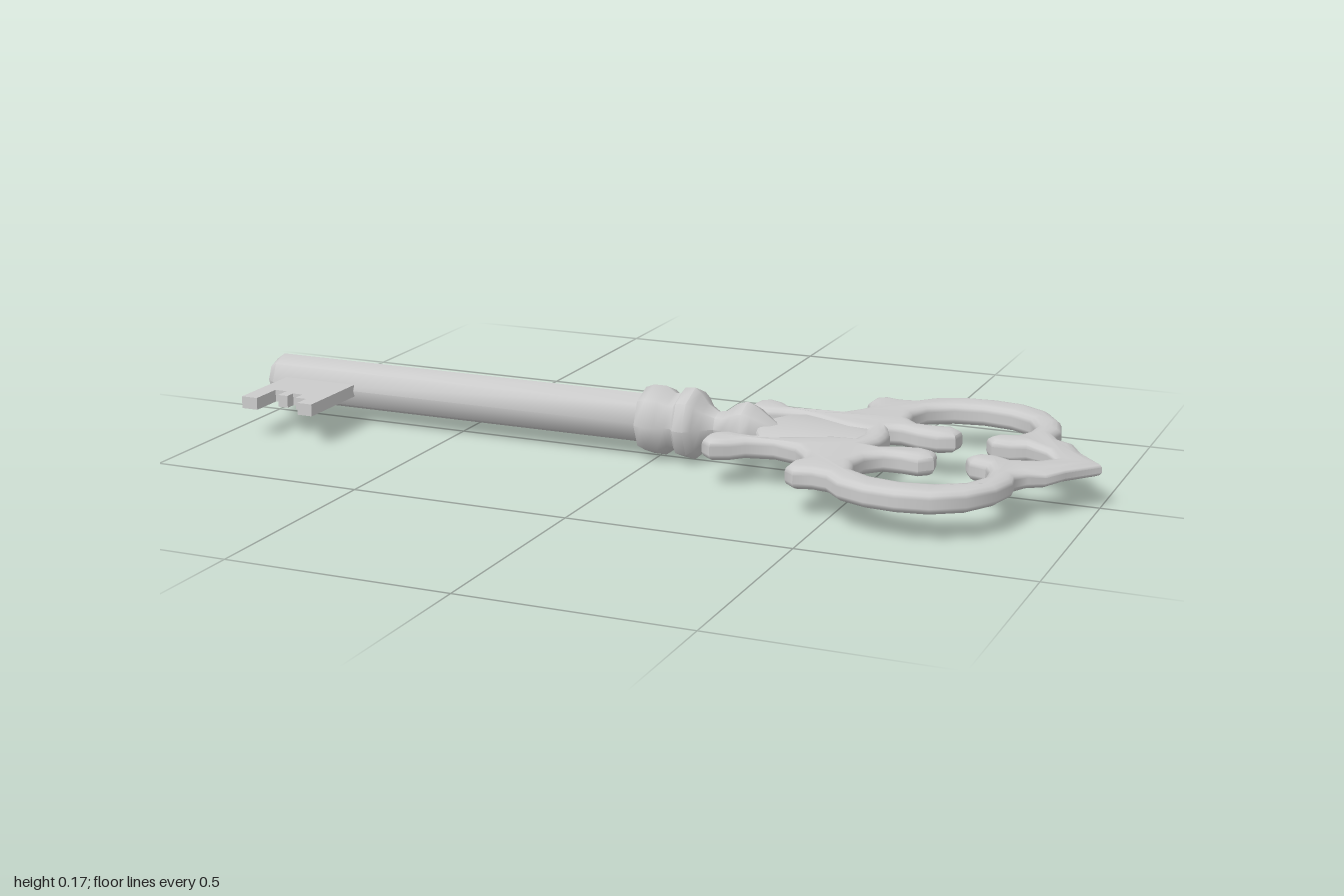
import * as THREE from 'three';
import { toCreasedNormals } from 'three/addons/utils/BufferGeometryUtils.js';

const AXIS = 0.085; // height of the key's centre line

const material = new THREE.MeshStandardMaterial({ color: 0xcccccc });

function addMesh(group, name, geometry, crease) {
  const mesh = new THREE.Mesh(toCreasedNormals(geometry, crease), material);
  mesh.name = name;
  mesh.position.y = AXIS;
  group.add(mesh);
  return mesh;
}

// Closed symmetric outline from one half; the first and last points lie on the axis.
function mirrored(half) {
  const pts = half.map(([x, z]) => new THREE.Vector2(x, z));
  const other = half.slice(1, -1).reverse().map(([x, z]) => new THREE.Vector2(x, -z));
  return pts.concat(other);
}

// Flat part lying in the xz plane, centred on the centre line, with rounded edges.
function slab(shape, thickness, bevelSize, bevelThickness, bevelSegments = 3) {
  const depth = thickness - 2 * bevelThickness;
  const geo = new THREE.ExtrudeGeometry(shape, {
    depth, bevelEnabled: bevelSize > 0, bevelSize, bevelThickness,
    bevelOffset: -bevelSize, bevelSegments, curveSegments: 4,
  });
  geo.translate(0, 0, -depth / 2);
  geo.rotateX(Math.PI / 2);
  return geo;
}

export function createModel() {
  const key = new THREE.Group();
  key.name = 'key';

  // Shaft with collar rings and pointed finial: eight-sided turned profile [x, radius]
  const profile = [
    [-1, 0], [-1, 0.042], [-0.98, 0.057], [-0.04, 0.057], [-0.035, 0.072],
    [-0.015, 0.08], [0.015, 0.08], [0.035, 0.066], [0.05, 0.066], [0.06, 0.08],
    [0.085, 0.083], [0.1, 0.07], [0.115, 0.05], [0.14, 0.034], [0.16, 0.037],
    [0.185, 0.056], [0.21, 0.064], [0.23, 0.055], [0.27, 0.027], [0.305, 0],
  ].map(([x, r]) => new THREE.Vector2(r, x));
  const shaft = new THREE.LatheGeometry(profile, 8);
  shaft.rotateZ(-Math.PI / 2);
  addMesh(key, 'shaft', shaft, 0.95);

  // Toothed bit near the end of the shaft
  const bitOutline = [
    [-0.945, 0.03], [-0.76, 0.03], [-0.76, 0.243], [-0.797, 0.243], [-0.797, 0.205],
    [-0.825, 0.205], [-0.825, 0.175], [-0.85, 0.175], [-0.85, 0.2], [-0.875, 0.2],
    [-0.875, 0.163], [-0.905, 0.163], [-0.905, 0.243], [-0.945, 0.243],
  ].map(([x, z]) => new THREE.Vector2(x, z));
  addMesh(key, 'bit', slab(new THREE.Shape(bitOutline), 0.028, 0, 0), 0.5);

  // Bow: scrolled outline, from the notch round to the tip
  const bowEdge = [
    [0.475, 0], [0.468, 0.04], [0.425, 0.045], [0.39, 0.062], [0.34, 0.086],
    [0.285, 0.107], [0.24, 0.1], [0.205, 0.094], [0.175, 0.112], [0.166, 0.135],
    [0.17, 0.172], [0.196, 0.193], [0.235, 0.175], [0.262, 0.147], [0.32, 0.134],
    [0.375, 0.152], [0.405, 0.19], [0.42, 0.22], [0.404, 0.25], [0.405, 0.295],
    [0.43, 0.316], [0.468, 0.306], [0.5, 0.312], [0.538, 0.353], [0.602, 0.379],
    [0.67, 0.385], [0.74, 0.374], [0.805, 0.332], [0.848, 0.267], [0.864, 0.203],
    [0.858, 0.166], [0.877, 0.135], [0.912, 0.122], [0.94, 0.07], [1, 0],
  ];
  // Bow opening: from the tip side, round both inner curls, to the throat
  const bowOpening = [
    [0.9, 0], [0.87, 0.038], [0.822, 0.063], [0.79, 0.046], [0.75, 0.048],
    [0.73, 0.08], [0.747, 0.112], [0.784, 0.122], [0.8, 0.155], [0.805, 0.208],
    [0.778, 0.262], [0.725, 0.294], [0.66, 0.305], [0.596, 0.294], [0.543, 0.262],
    [0.526, 0.208], [0.534, 0.16], [0.565, 0.128], [0.602, 0.126], [0.642, 0.132],
    [0.669, 0.107], [0.664, 0.07], [0.628, 0.053], [0.58, 0.06], [0.538, 0.077],
    [0.512, 0.072], [0.527, 0.035], [0.53, 0],
  ];
  const bowShape = new THREE.Shape(mirrored(bowEdge));
  bowShape.holes.push(new THREE.Path(mirrored(bowOpening)));
  const bow = slab(bowShape, 0.05, 0.022, 0.016);

  // Thin the bow slightly towards the tip
  const p = bow.attributes.position;
  for (let i = 0; i < p.count; i++) {
    const t = THREE.MathUtils.smoothstep(p.getX(i), 0.8, 0.95);
    p.setY(i, p.getY(i) * (1 - 0.35 * t));
  }
  addMesh(key, 'bow', bow, 0.9);

  // Recessed leaf plate joining the finial to the bow
  const leaf = [
    [0.235, 0], [0.25, 0.055], [0.275, 0.1], [0.32, 0.115], [0.4, 0.085],
    [0.47, 0.06], [0.505, 0.03], [0.505, 0],
  ];
  addMesh(key, 'leafPlate', slab(new THREE.Shape(mirrored(leaf)), 0.038, 0.008, 0.008, 2), 0.9);

  return key;
}
